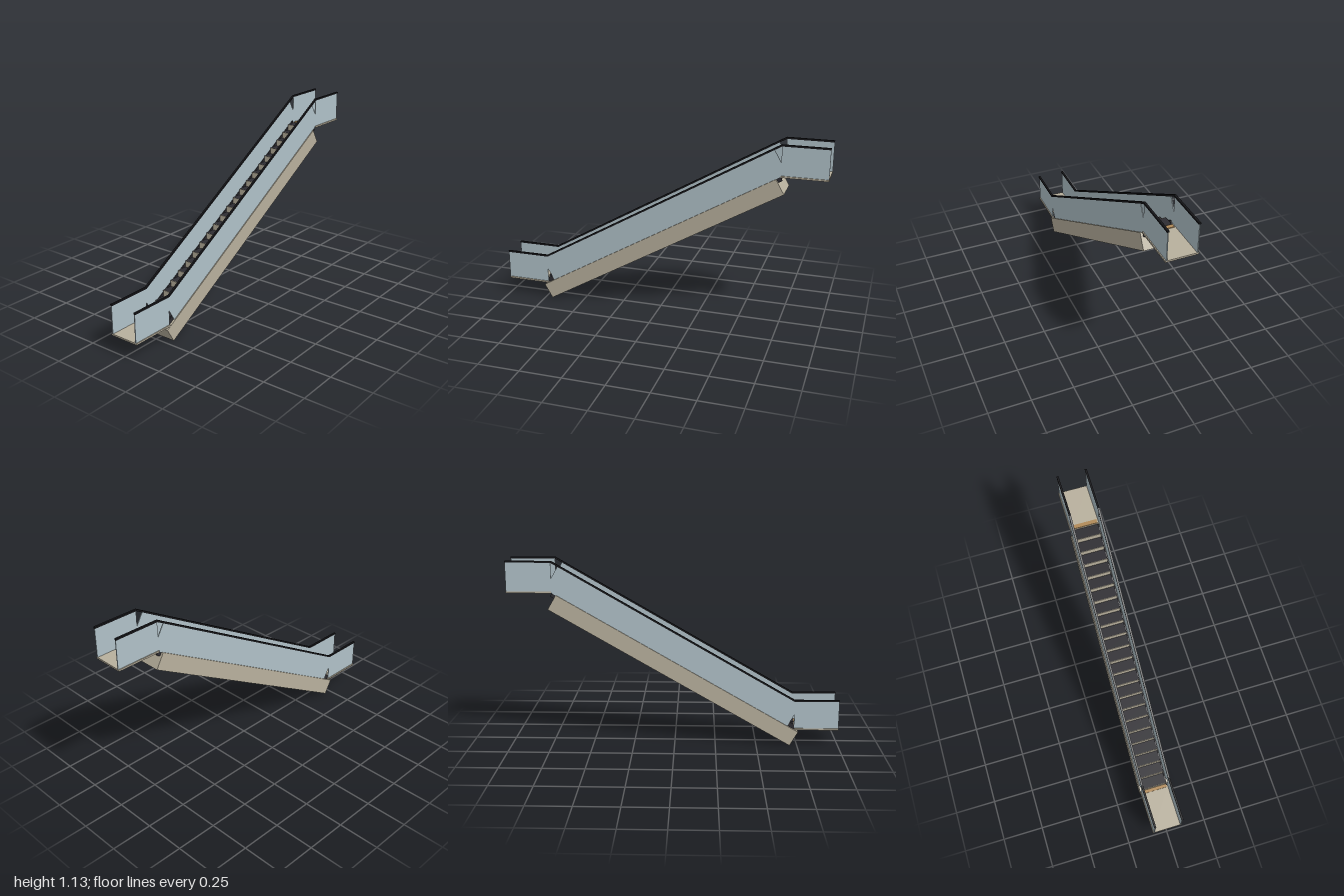
import * as THREE from 'three';

const SLOPE = Math.PI / 6;
const RISE = 0.84;          // height between the two landings
const LOW = 0.111;          // lower landing surface
const STEPS = 22;

const paint = (color) => new THREE.MeshStandardMaterial({ color });
const tan = paint(0xb8b09d);
const glass = paint(0xb0c1c8);
const dark = paint(0x2e2d32);
const black = paint(0x161619);
const brass = paint(0xb08a58);

export function createModel() {
  const model = new THREE.Group();

  const box = (name, mat, w, h, d, x, y, z, tilt = 0) => {
    const mesh = new THREE.Mesh(new THREE.BoxGeometry(w, h, d), mat);
    mesh.name = name;
    mesh.position.set(x, y, z);
    mesh.rotation.x = tilt;
    model.add(mesh);
    return mesh;
  };

  // Sloping truss under the steps
  box('truss', tan, 0.188, 0.1, 1.685, 0, 0.4645, 0, SLOPE);

  // Steps: dark treads with pale risers
  const pitch = 1.455 / STEPS;
  const rise = RISE / STEPS;
  for (let i = 0; i < STEPS; i++) {
    const front = 0.727 - i * pitch;
    const top = LOW + (i + 1) * rise;
    box('tread', dark, 0.15, rise, pitch, 0, top - rise / 2, front - pitch / 2);
    box('riser', tan, 0.148, rise, 0.003, 0, top - rise / 2, front + 0.0012);
  }

  // Landings with comb plates, lower then upper
  for (const [s, y, combZ] of [[1, LOW, 0.737], [-1, LOW + RISE, -0.747]]) {
    box('landing', tan, 0.188, 0.01, 0.27, 0, y - 0.005, s * 0.865);
    box('combPlate', brass, 0.152, 0.005, 0.025, 0, y + 0.002, combZ);
  }

  // Handrail profile following the flat, sloping and flat runs
  const rail = new THREE.Shape([
    [1, 0.291], [0.73, 0.291], [-0.727, 1.132], [-1, 1.132],
    [-1, 1.122], [-0.7297, 1.122], [0.7273, 0.281], [1, 0.281],
  ].map(([z, y]) => new THREE.Vector2(z, y)));
  const railGeo = new THREE.ExtrudeGeometry(rail, { depth: 0.012, bevelEnabled: false });
  railGeo.translate(0, 0, -0.006).rotateY(-Math.PI / 2);

  // Balustrades: skirt, glass panels and handrail on both sides
  for (const side of [1, -1]) {
    const x = side * 0.086;
    box('skirt', dark, 0.006, 0.052, 1.68, side * 0.078, 0.5225, 0, SLOPE);
    box('slopingPanel', glass, 0.005, 0.161, 1.68, x, 0.6125, 0, SLOPE);
    box('lowerPanel', glass, 0.005, 0.171, 0.27, x, 0.1965, 0.865);
    box('upperPanel', glass, 0.005, 0.171, 0.27, x, 0.1965 + RISE, -0.865);
    const handrail = new THREE.Mesh(railGeo, black);
    handrail.name = 'handrail';
    handrail.position.x = x;
    model.add(handrail);
  }

  return model;
}
